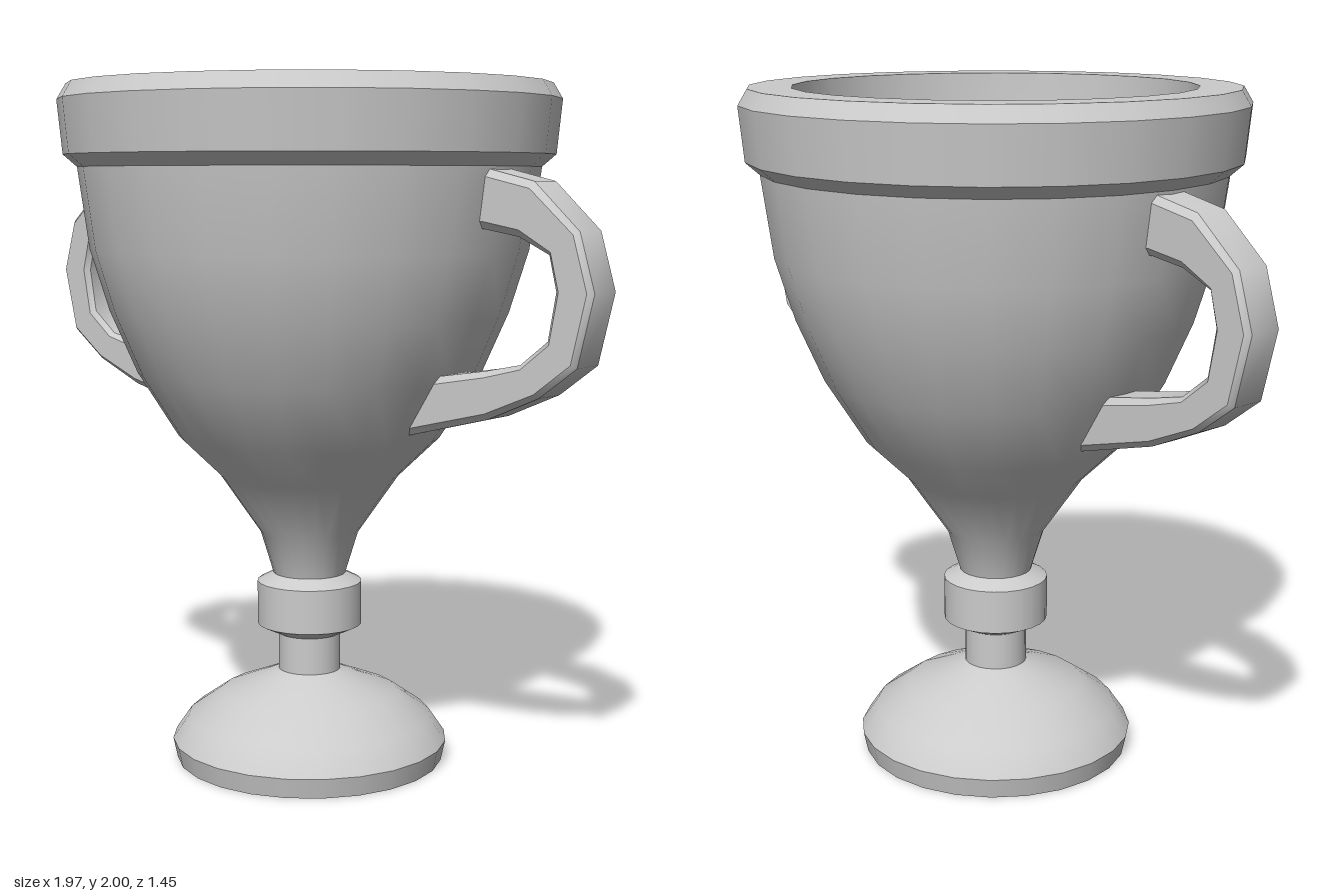
import * as THREE from 'three';

const SIDES = 24;
const material = new THREE.MeshStandardMaterial({ color: 0xcccccc, side: THREE.DoubleSide });

// One smooth turned surface; separate calls leave a sharp edge between them
function turned(name, profile) {
  const points = profile.map(([r, y]) => new THREE.Vector2(r, y));
  const mesh = new THREE.Mesh(new THREE.LatheGeometry(points, SIDES), material);
  mesh.name = name;
  return mesh;
}

// A turned part in which every profile segment is a hard-edged band
function banded(name, profile) {
  const group = new THREE.Group();
  group.name = name;
  for (let i = 0; i < profile.length - 1; i++) {
    group.add(turned(`${name}Band${i + 1}`, [profile[i], profile[i + 1]]));
  }
  return group;
}

// Handle: a chamfered bar between an outer and an inner outline,
// smooth along its length and sharp around its section
function handleGeometry() {
  const outer = [[0.6, 1.77], [0.66, 1.757], [0.8, 1.725], [0.94, 1.597], [0.987, 1.44],
    [0.94, 1.245], [0.825, 1.158], [0.665, 1.088], [0.4, 1.02]];
  const inner = [[0.6, 1.6], [0.65, 1.598], [0.757, 1.58], [0.85, 1.535], [0.873, 1.44],
    [0.85, 1.31], [0.767, 1.243], [0.66, 1.22], [0.48, 1.19]];
  // Section corners: [fraction from inner to outer, z]
  const section = [[0, -0.053], [0, 0.053], [0.13, 0.068], [0.87, 0.068],
    [1, 0.053], [1, -0.053], [0.87, -0.068], [0.13, -0.068]];
  const positions = [], index = [];
  const corner = (i, [t, z]) => positions.push(
    THREE.MathUtils.lerp(inner[i][0], outer[i][0], t),
    THREE.MathUtils.lerp(inner[i][1], outer[i][1], t), z);

  section.forEach((a, k) => {
    const b = section[(k + 1) % section.length];
    const start = positions.length / 3;
    outer.forEach((_, i) => {
      corner(i, a);
      corner(i, b);
      if (i === 0) return;
      const p = start + 2 * (i - 1);
      index.push(p, p + 1, p + 2, p + 1, p + 3, p + 2);
    });
  });
  const geometry = new THREE.BufferGeometry();
  geometry.setAttribute('position', new THREE.Float32BufferAttribute(positions, 3));
  geometry.setIndex(index);
  geometry.computeVertexNormals();
  return geometry;
}

export function createModel() {
  const trophy = new THREE.Group();
  trophy.name = 'trophyCup';

  // Foot, open underneath
  trophy.add(turned('footEdge', [[0.4, 0], [0.413, 0.06]]));
  trophy.add(turned('footDome', [[0.413, 0.06], [0.365, 0.13], [0.265, 0.2], [0.093, 0.27]]));

  // Stem and collar
  trophy.add(turned('stem', [[0.093, 0.27], [0.093, 0.38]]));
  trophy.add(banded('collar', [[0.093, 0.38], [0.156, 0.41], [0.156, 0.54], [0.108, 0.565]]));

  // Bowl
  trophy.add(turned('bowlOutside', [[0.108, 0.565], [0.146, 0.69], [0.265, 0.863], [0.386, 0.98],
    [0.505, 1.17], [0.583, 1.35], [0.638, 1.53], [0.67, 1.765]]));
  trophy.add(banded('rim', [[0.67, 1.765], [0.71, 1.8], [0.725, 1.955], [0.698, 2], [0.575, 2]]));
  trophy.add(turned('bowlInside', [[0.575, 2], [0.567, 1.74], [0.54, 1.5], [0.485, 1.33],
    [0.4, 1.17], [0.28, 1.03], [0.14, 0.95], [0, 0.925]]));

  // Two handles
  const geometry = handleGeometry();
  for (const side of ['left', 'right']) {
    const handle = new THREE.Mesh(geometry, material);
    handle.name = `${side}Handle`;
    if (side === 'right') handle.rotation.y = Math.PI;
    trophy.add(handle);
  }
  return trophy;
}
